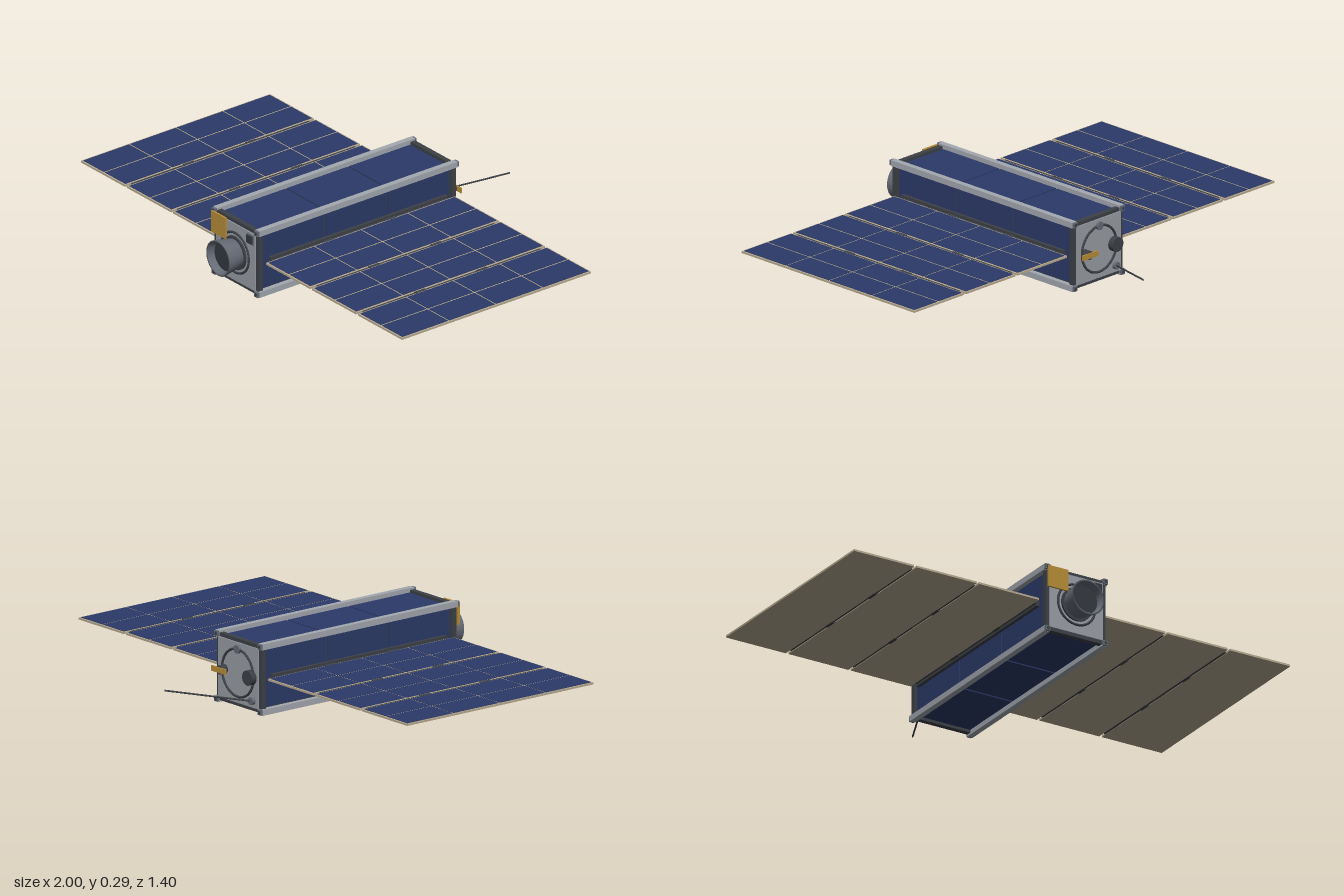
import * as THREE from 'three';

const mat = (name, color, side = THREE.FrontSide) => {
  const m = new THREE.MeshStandardMaterial({ color, side });
  m.name = name;
  return m;
};

export function createModel() {
  const model = new THREE.Group();
  model.name = 'satellite';
  const blue = mat('solar blue', 0x2c3a69);
  const silver = mat('rail silver', 0xa4a9b1);
  const plateGrey = mat('plate grey', 0x9a9fa6);
  const dark = mat('dark frame', 0x3d4147);
  const steel = mat('steel grey', 0x666b76, THREE.DoubleSide);
  const tan = mat('substrate tan', 0xb9ac92);
  const gold = mat('gold', 0xb98f38);
  const lensDark = mat('lens dark', 0x343a40);

  const CY = 0.158, ZF = 0.584, ZB = -0.356, ZC = (ZF + ZB) / 2;

  const add = (parent, name, geo, material, x = 0, y = 0, z = 0) => {
    const mesh = new THREE.Mesh(geo, material);
    mesh.name = name;
    mesh.position.set(x, y, z);
    parent.add(mesh);
    return mesh;
  };
  const box = (p, name, m, w, h, d, x, y, z) => add(p, name, new THREE.BoxGeometry(w, h, d), m, x, y, z);
  // cylinder whose axis runs along z
  const disc = (p, name, m, r, d, x, y, z, n = 32) =>
    add(p, name, new THREE.CylinderGeometry(r, r, d, n).rotateX(Math.PI / 2), m, x, y, z);

  // Bus: core, end frames, corner rails
  const bus = new THREE.Group();
  bus.name = 'bus';
  bus.position.y = CY;
  model.add(bus);
  box(bus, 'core', dark, 0.246, 0.246, 0.96, 0, 0, ZC);
  box(bus, 'frontFrame', dark, 0.272, 0.272, 0.022, 0, 0, 0.598);
  box(bus, 'backFrame', dark, 0.272, 0.272, 0.022, 0, 0, -0.364);
  box(bus, 'frontPlate', plateGrey, 0.244, 0.244, 0.006, 0, 0, 0.611);
  box(bus, 'backPlate', plateGrey, 0.244, 0.244, 0.006, 0, 0, -0.377);
  for (const sx of [-1, 1]) for (const sy of [-1, 1]) {
    const x = sx * 0.132, y = sy * 0.132;
    box(bus, 'rail', silver, 0.024, 0.024, 0.985, x, y, 0.117);
    for (const z of [0.614, -0.379]) {
      box(bus, 'railFoot', steel, 0.021, 0.021, 0.01, x, y, z);
      disc(bus, 'railBolt', dark, 0.007, 0.012, x, y, z, 12);
    }
  }

  // Three solar plates on each of the four long faces
  const splits = [ZB + 0.006, -0.038, 0.271, ZF];
  for (let side = 0; side < 4; side++) {
    const face = new THREE.Group();
    face.name = 'bodySolarFace';
    face.rotation.z = side * Math.PI / 2;
    for (let i = 0; i < 3; i++) {
      const d = splits[i + 1] - splits[i] - 0.008;
      box(face, 'bodySolarPlate', blue, 0.23, 0.006, d, 0, 0.125, (splits[i] + splits[i + 1]) / 2);
    }
    bus.add(face);
  }

  // Wings: three hinged panels per side, each with 2 x 4 cells
  const starts = [0.152, 0.438, 0.725], W = 0.275, L = ZF - ZB;
  for (const s of [-1, 1]) {
    const wing = new THREE.Group();
    wing.name = s > 0 ? 'leftWing' : 'rightWing';
    wing.position.y = CY;
    for (const x0 of starts) {
      box(wing, 'wingPanel', tan, W, 0.008, L, s * (x0 + W / 2), 0, ZC);
      const cw = (W - 0.022) / 2, cd = (L - 0.034) / 4;
      for (let c = 0; c < 2; c++) for (let r = 0; r < 4; r++) {
        const x = x0 + 0.007 + cw / 2 + c * (cw + 0.008);
        const z = ZB + 0.007 + cd / 2 + r * (cd + 0.0067);
        box(wing, 'solarCell', blue, cw, 0.002, cd, s * x, 0.005, z);
      }
      // hinge rod and knuckles along the inner edge
      const hx = s * (x0 - 0.005);
      disc(wing, 'hingeRod', dark, 0.005, 0.88, hx, 0, ZC, 12);
      for (const z of [-0.037, 0.271]) disc(wing, 'hingeKnuckle', dark, 0.008, 0.05, hx, 0, z, 12);
    }
    box(wing, 'rootBracket', dark, 0.014, 0.03, 0.88, s * 0.138, 0, ZC);
    model.add(wing);
  }

  // Front instruments
  const front = new THREE.Group();
  front.name = 'frontInstruments';
  front.position.y = CY;
  model.add(front);
  add(front, 'mountRing', new THREE.TorusGeometry(0.085, 0.005, 10, 48), dark, 0, 0, 0.615);
  const profile = [[0.058, 0], [0.06, 0.01], [0.074, 0.086], [0.066, 0.086], [0.06, 0.055]]
    .map(([r, h]) => new THREE.Vector2(r, h));
  const barrel = new THREE.LatheGeometry(profile, 48).rotateX(Math.PI / 2);
  add(front, 'telescopeBarrel', barrel, steel, 0, 0, 0.614);
  disc(front, 'barrelBase', dark, 0.07, 0.01, 0, 0, 0.617, 48);
  disc(front, 'lens', lensDark, 0.062, 0.006, 0, 0, 0.667, 48);
  box(front, 'goldPatch', gold, 0.09, 0.09, 0.008, -0.09, 0.089, 0.623);
  box(front, 'sensorBase', steel, 0.042, 0.042, 0.006, 0.095, 0.095, 0.616);
  box(front, 'sensor', lensDark, 0.032, 0.032, 0.01, 0.095, 0.095, 0.62);

  // Back instruments
  const back = new THREE.Group();
  back.name = 'backInstruments';
  back.position.y = CY;
  model.add(back);
  add(back, 'separationRing', new THREE.TorusGeometry(0.096, 0.005, 10, 48), dark, 0, 0, -0.382);
  disc(back, 'thruster', dark, 0.03, 0.026, -0.082, 0, -0.391);
  disc(back, 'topPort', steel, 0.017, 0.012, 0, 0.096, -0.384);
  disc(back, 'antennaStem', dark, 0.018, 0.034, 0.08, 0, -0.394);
  box(back, 'goldAntenna', gold, 0.086, 0.022, 0.006, 0.08, 0, -0.412);
  disc(back, 'whipBase', steel, 0.015, 0.016, -0.09, -0.093, -0.386);

  // Whip antenna
  const whip = new THREE.LineCurve3(new THREE.Vector3(-0.09, -0.093, -0.388), new THREE.Vector3(0.07, -0.03, -0.695));
  add(back, 'whipAntenna', new THREE.TubeGeometry(whip, 1, 0.0035, 8), dark);

  return model;
}
